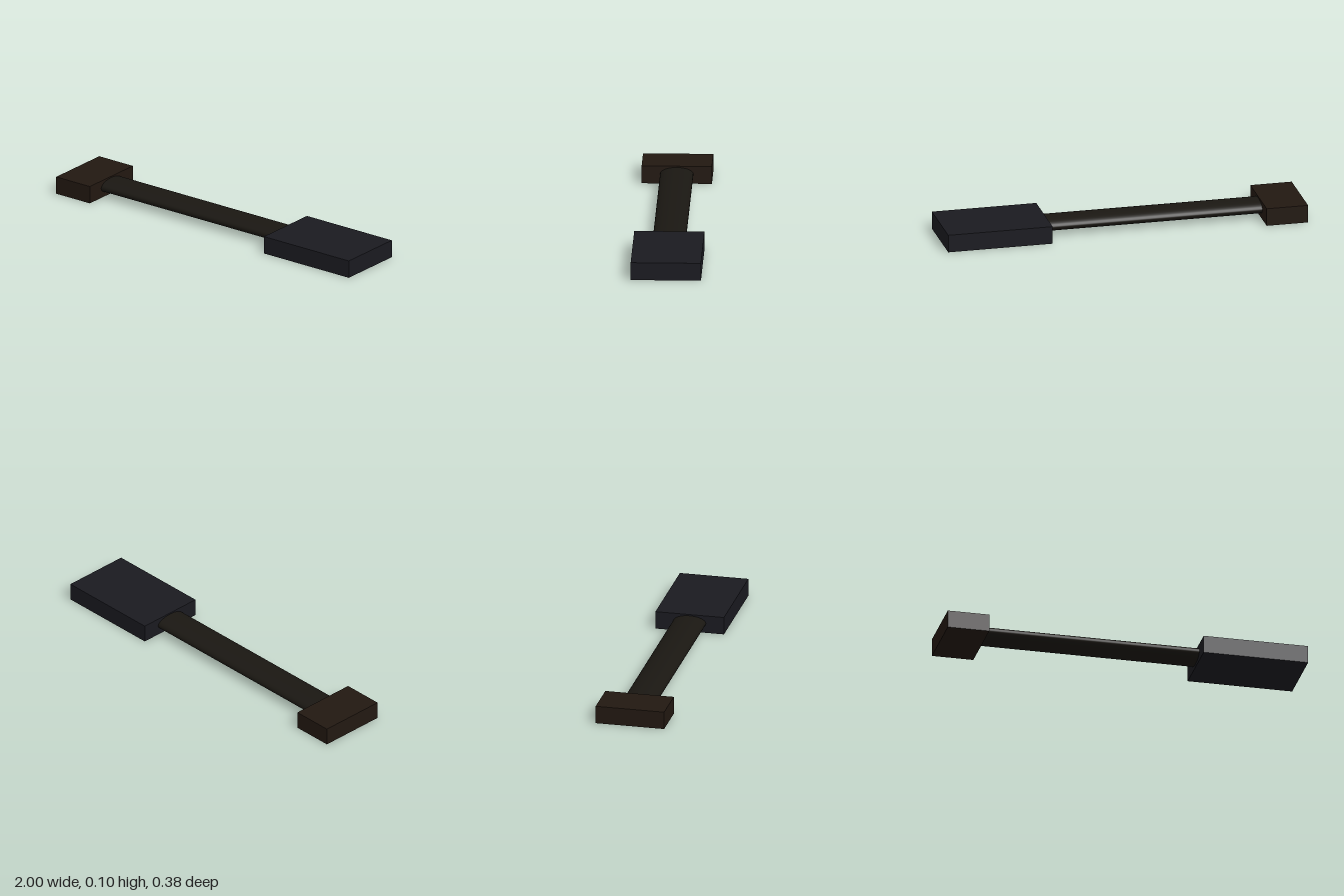
import * as THREE from 'three';

const HEIGHT = 0.098, DEPTH = 0.38;

function addMesh(group, name, geometry, color, x, y) {
  const mesh = new THREE.Mesh(geometry, new THREE.MeshStandardMaterial({ color }));
  mesh.name = name;
  mesh.position.set(x, y, 0);
  group.add(mesh);
}

// Block standing on the ground between two x positions
function addBlock(group, name, x0, x1, color) {
  const geometry = new THREE.BoxGeometry(x1 - x0, HEIGHT, DEPTH);
  addMesh(group, name, geometry, color, (x0 + x1) / 2, HEIGHT / 2);
}

export function createModel() {
  const group = new THREE.Group();
  group.name = 'blockEndedBar';

  addBlock(group, 'endBlock', -1, -0.77, 0x221811);
  addBlock(group, 'headBlock', 0.42, 1, 0x1a1a20);

  // Flattened round shaft, its ends seated in the blocks
  const shaft = new THREE.CylinderGeometry(1, 1, 1.21, 32);
  shaft.rotateZ(Math.PI / 2);
  shaft.scale(1, 0.037, 0.09);
  addMesh(group, 'shaft', shaft, 0x1a1712, -0.175, 0.054);

  return group;
}
